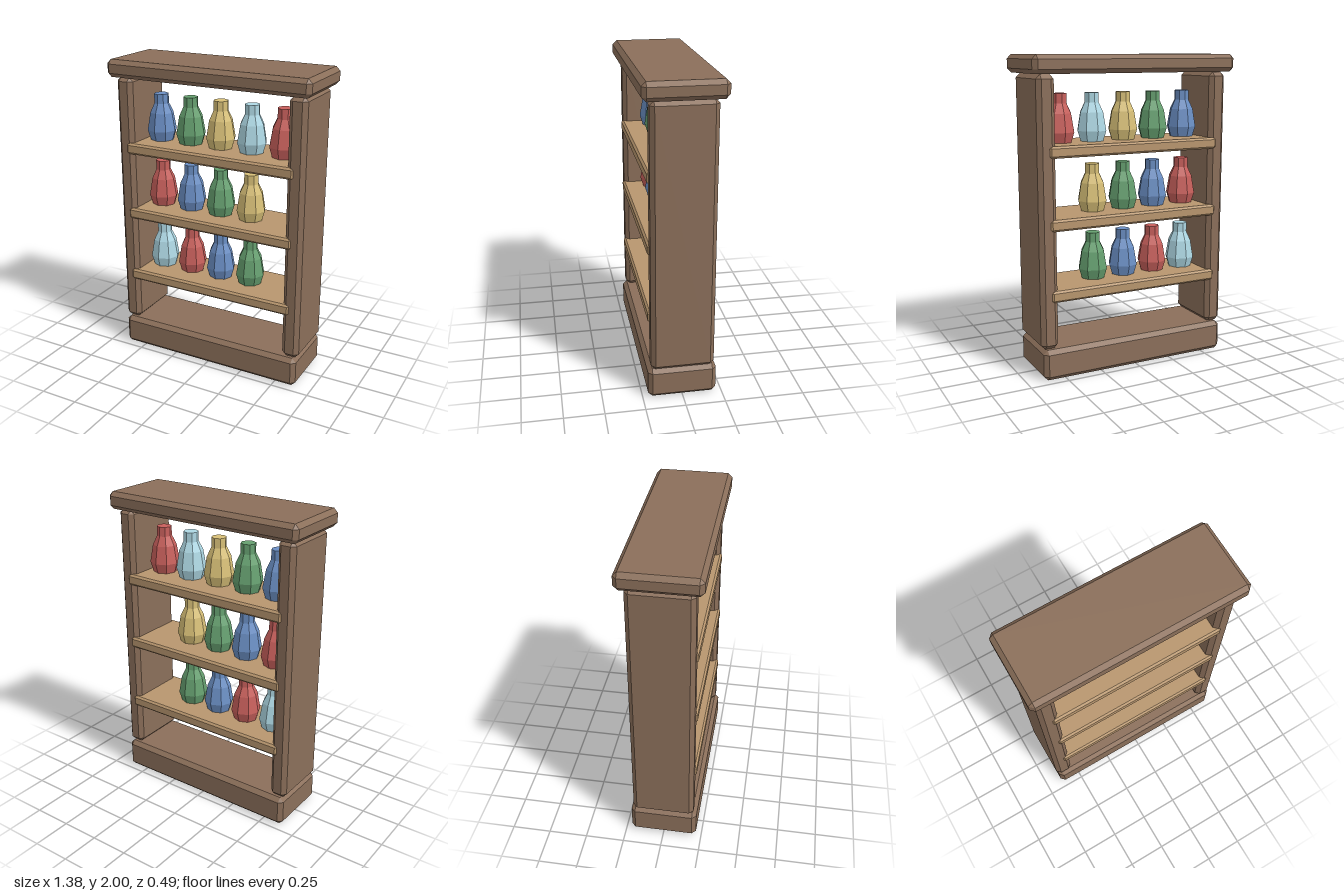
import * as THREE from 'three';
import { ConvexGeometry } from 'three/addons/geometries/ConvexGeometry.js';

const material = (color) => new THREE.MeshStandardMaterial({ color, flatShading: true });

// Box with all twelve edges cut at 45 degrees by c
function chamferBox(w, h, d, c) {
  const points = [];
  for (const sx of [-1, 1]) for (const sy of [-1, 1]) for (const sz of [-1, 1]) {
    const x = w / 2, y = h / 2, z = d / 2;
    points.push(
      new THREE.Vector3(sx * x, sy * (y - c), sz * (z - c)),
      new THREE.Vector3(sx * (x - c), sy * y, sz * (z - c)),
      new THREE.Vector3(sx * (x - c), sy * (y - c), sz * z));
  }
  return new ConvexGeometry(points);
}

export function createModel() {
  const model = new THREE.Group();
  model.name = 'bottleShelf';
  const darkWood = material(0x8b6f5a);
  const lightWood = material(0xb8966e);
  const glass = {
    blue: material(0x6b8fc4), green: material(0x66a070), yellow: material(0xd8c078),
    pale: material(0xaed8e4), red: material(0xc8605c),
  };

  // Wooden beam spanning bottom..top in y
  function beam(name, mat, w, bottom, top, d, c, x = 0) {
    const mesh = new THREE.Mesh(chamferBox(w, top - bottom, d, c), mat);
    mesh.name = name;
    mesh.position.set(x, (bottom + top) / 2, 0);
    model.add(mesh);
  }

  // Frame
  beam('base', darkWood, 1.285, 0, 0.198, 0.43, 0.027);
  beam('topBoard', darkWood, 1.38, 1.888, 2, 0.492, 0.027);
  beam('leftSide', darkWood, 0.114, 0.2, 1.886, 0.395, 0.027, 0.595);
  beam('rightSide', darkWood, 0.114, 0.2, 1.886, 0.395, 0.027, -0.595);

  // Eight-sided bottle, closed at both ends
  const profile = [[0, 0], [0.077, 0], [0.097, 0.065], [0.077, 0.18], [0.048, 0.24], [0.048, 0.302], [0, 0.302]];
  const bottleGeometry = new THREE.LatheGeometry(profile.map(([r, y]) => new THREE.Vector2(r, y)), 8);

  // Shelves, bottom to top, with their bottles
  const rows = [
    ['pale', 'red', 'blue', 'green'],
    ['red', 'blue', 'green', 'yellow'],
    ['blue', 'green', 'yellow', 'pale', 'red'],
  ];
  rows.forEach((row, level) => {
    const shelfTop = 0.572 + level * 0.446;
    beam('shelf', lightWood, 1.17, shelfTop - 0.073, shelfTop, 0.414, 0.013);
    row.forEach((color, i) => {
      const bottle = new THREE.Mesh(bottleGeometry, glass[color]);
      bottle.name = 'bottle';
      bottle.position.set((i - 2) * 0.218, shelfTop, 0);
      model.add(bottle);
    });
  });

  return model;
}
